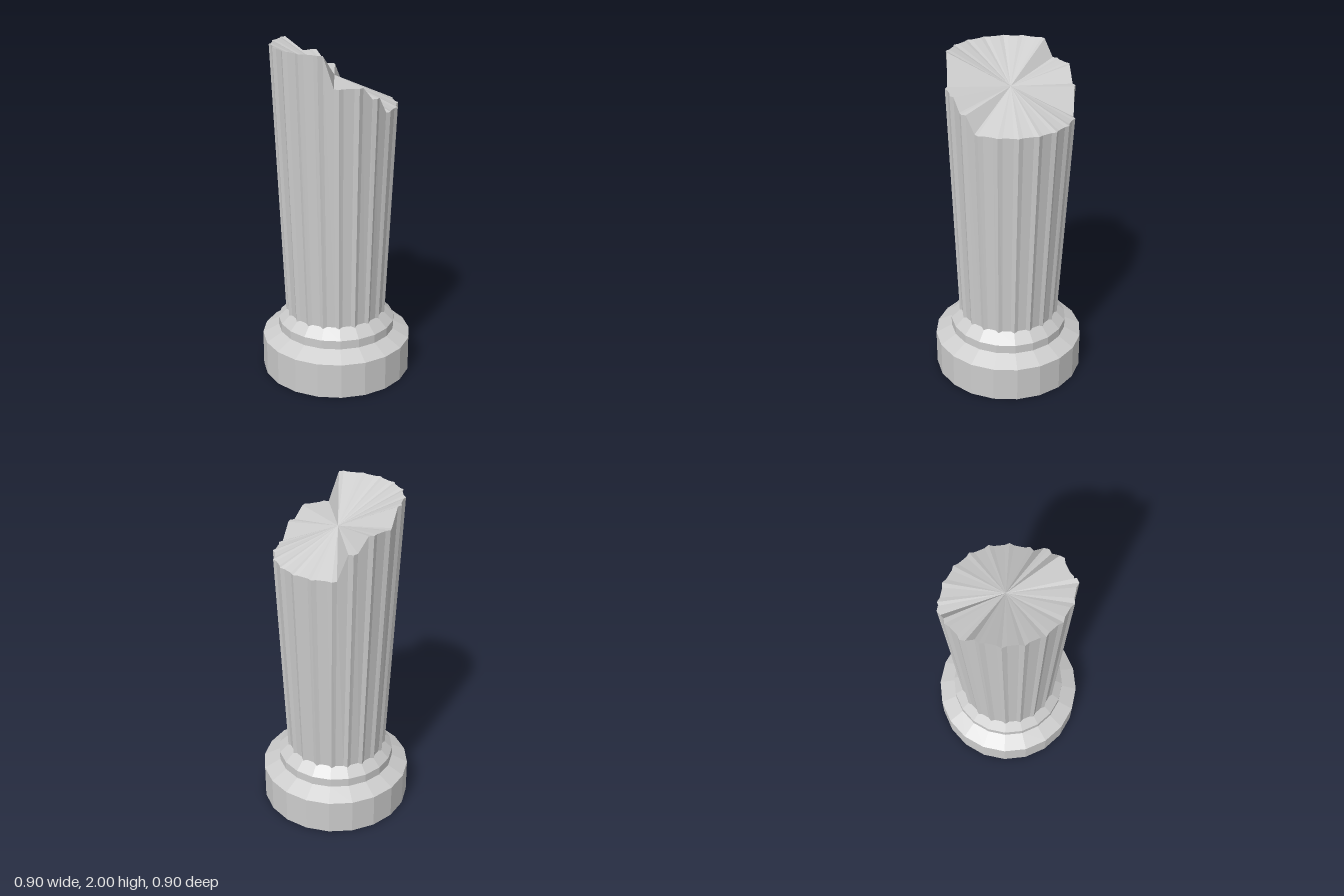
import * as THREE from 'three';

const FLUTES = 20;
const START = THREE.MathUtils.degToRad(13); // angle of the first ridge, from +x towards +z

function stone() {
  return new THREE.MeshStandardMaterial({ color: 0xcccccc, flatShading: true, side: THREE.DoubleSide });
}

// Stepped round base, open underneath
function createBase() {
  const profile = [
    [0.453, 0], [0.453, 0.215], [0.355, 0.267], [0.355, 0.32], [0.288, 0.385],
  ].map(([r, y]) => new THREE.Vector2(r, y));
  const base = new THREE.Mesh(
    new THREE.LatheGeometry(profile, FLUTES, Math.PI / 2 - START), stone());
  base.name = 'base';
  return base;
}

// Height of the broken rim at each ridge
const rimHeights = [
  1.655, 1.75, 1.82, 1.82, 2, 2, 2, 2, 2, 2, 2,
  1.9, 1.9, 1.81, 1.655, 1.655, 1.655, 1.655, 1.655, 1.655,
];

// Fluted, slightly leaning shaft: each ridge is a point between two shallower ones
function shaftRings() {
  const bottom = [], rim = [];
  const spread = THREE.MathUtils.degToRad(4.2);
  for (let i = 0; i < FLUTES; i++) {
    for (const side of [-1, 0, 1]) {
      const a = START + (i / FLUTES) * Math.PI * 2 + side * spread;
      const inset = side === 0 ? 0 : 0.012;
      const rb = 0.304 - inset, rt = 0.367 - inset;
      bottom.push([-0.004 + rb * Math.cos(a), 0.36, rb * Math.sin(a)]);
      rim.push([-0.015 + rt * Math.cos(a), rimHeights[i], -0.01 + rt * Math.sin(a)]);
    }
  }
  return { bottom, rim };
}

function meshFromTriangles(name, corners) {
  const geometry = new THREE.BufferGeometry();
  geometry.setAttribute('position', new THREE.Float32BufferAttribute(corners.flat(), 3));
  geometry.computeVertexNormals();
  const mesh = new THREE.Mesh(geometry, stone());
  mesh.name = name;
  return mesh;
}

export function createModel() {
  const column = new THREE.Group();
  column.name = 'brokenColumn';

  const { bottom, rim } = shaftRings();
  const centre = [-0.015, 1.82, -0.01];
  const sides = [], top = [];
  for (let i = 0; i < rim.length; i++) {
    const j = (i + 1) % rim.length;
    sides.push(bottom[i], rim[i], rim[j], bottom[i], rim[j], bottom[j]);
    top.push(centre, rim[j], rim[i]);
  }

  column.add(
    createBase(),
    meshFromTriangles('flutedShaft', sides),
    meshFromTriangles('brokenTop', top), // jagged fan meeting at the centre
  );
  return column;
}
